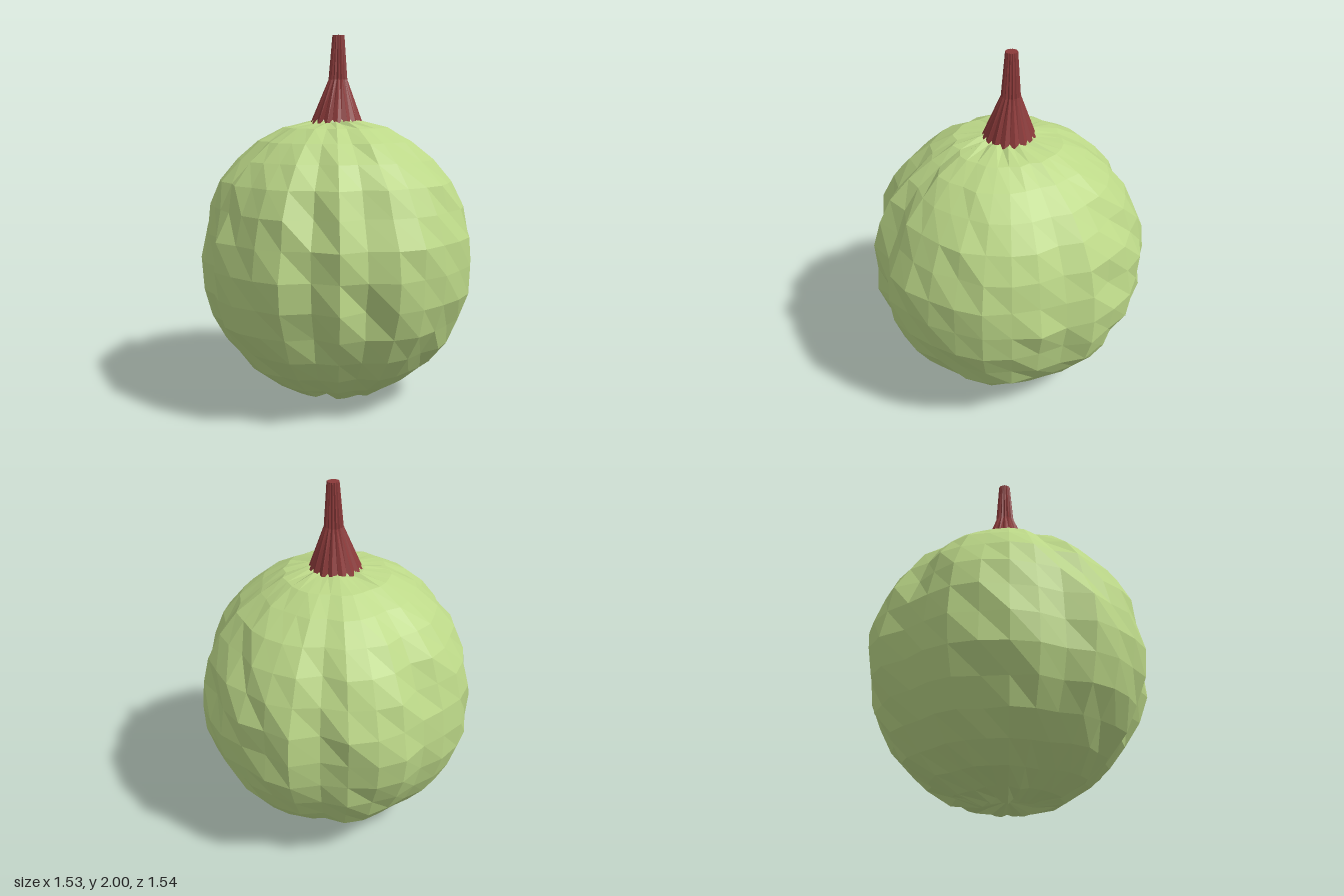
import * as THREE from 'three';

const SIDES = 32, RINGS = 16, RADIUS = 0.785, CENTRE_Y = 0.775;

// Reach of each meridian, from -x through +z, +x and -z
const REACH = [
  0.73, 0.765, 0.78, 0.77, 0.77, 0.76, 0.72, 0.765, 0.775, 0.77, 0.775, 0.72, 0.775, 0.72, 0.78, 0.785,
  0.77, 0.785, 0.78, 0.775, 0.77, 0.74, 0.78, 0.77, 0.78, 0.785, 0.78, 0.785, 0.73, 0.78, 0.78, 0.785,
];

// Repeatable noise in 0..1 for a grid vertex
function noise(i, j) {
  const s = Math.sin(i * 127.1 + j * 311.7) * 43758.5453;
  return s - Math.floor(s);
}

// Lumpy sphere: level rings, each vertex pulled in by its meridian and noise
function bodyGeometry() {
  const geo = new THREE.SphereGeometry(RADIUS, SIDES, RINGS);
  const pos = geo.attributes.position;
  for (let j = 0; j <= RINGS; j++) {
    for (let i = 0; i <= SIDES; i++) {
      const k = j * (SIDES + 1) + i, m = i % SIDES;
      const n = noise(m, j);
      const f = (REACH[m] / RADIUS) * (1 - 0.055 * n * n);
      let y = pos.getY(k) + CENTRE_Y;
      if (j === RINGS) y = 0.05; // dimple underneath
      else if (j === RINGS - 1) y = 0.045 * n * n;
      else if (j === RINGS - 2) y += 0.03 * (n - 0.5);
      else if (j <= 1) y = Math.min(y, 1.54) - 0.02 * n;
      pos.setXYZ(k, pos.getX(k) * f, y, pos.getZ(k) * f);
    }
  }
  return geo;
}

// Ribbed stem: alternate corners form ridges and grooves, flaring at the foot
function stemGeometry() {
  const levels = [
    { y: 1.545, r: 0.152, z: -0.01, groove: 0.84, drop: 0.04 },
    { y: 1.76, r: 0.052, z: -0.022, groove: 0.86, drop: 0 },
    { y: 2.0, r: 0.033, z: -0.026, groove: 0.9, drop: 0 },
  ];
  const points = [], index = [];
  for (const l of levels) {
    for (let i = 0; i < SIDES; i++) {
      const a = (i / SIDES) * Math.PI * 2, inner = i % 2;
      const r = l.r * (inner ? l.groove : 1);
      points.push(Math.cos(a) * r, l.y - (inner ? 0 : l.drop), l.z + Math.sin(a) * r);
    }
  }
  for (let j = 0; j < levels.length - 1; j++) {
    for (let i = 0; i < SIDES; i++) {
      const a = j * SIDES + i, b = j * SIDES + (i + 1) % SIDES;
      index.push(a, a + SIDES, b, b, a + SIDES, b + SIDES);
    }
  }
  // Flat cut end
  const top = (levels.length - 1) * SIDES, tip = levels.length * SIDES;
  points.push(0, 2, -0.026);
  for (let i = 0; i < SIDES; i++) index.push(top + i, tip, top + (i + 1) % SIDES);

  const geo = new THREE.BufferGeometry();
  geo.setAttribute('position', new THREE.Float32BufferAttribute(points, 3));
  geo.setIndex(index);
  geo.computeVertexNormals();
  return geo;
}

export function createModel() {
  const group = new THREE.Group();
  group.name = 'gourd';
  const add = (name, geometry, color) => {
    const material = new THREE.MeshStandardMaterial({ color, flatShading: true });
    const mesh = new THREE.Mesh(geometry, material);
    mesh.name = name;
    group.add(mesh);
  };
  add('body', bodyGeometry(), 0xbcd888);
  add('stem', stemGeometry(), 0x8b3a3a);
  return group;
}
